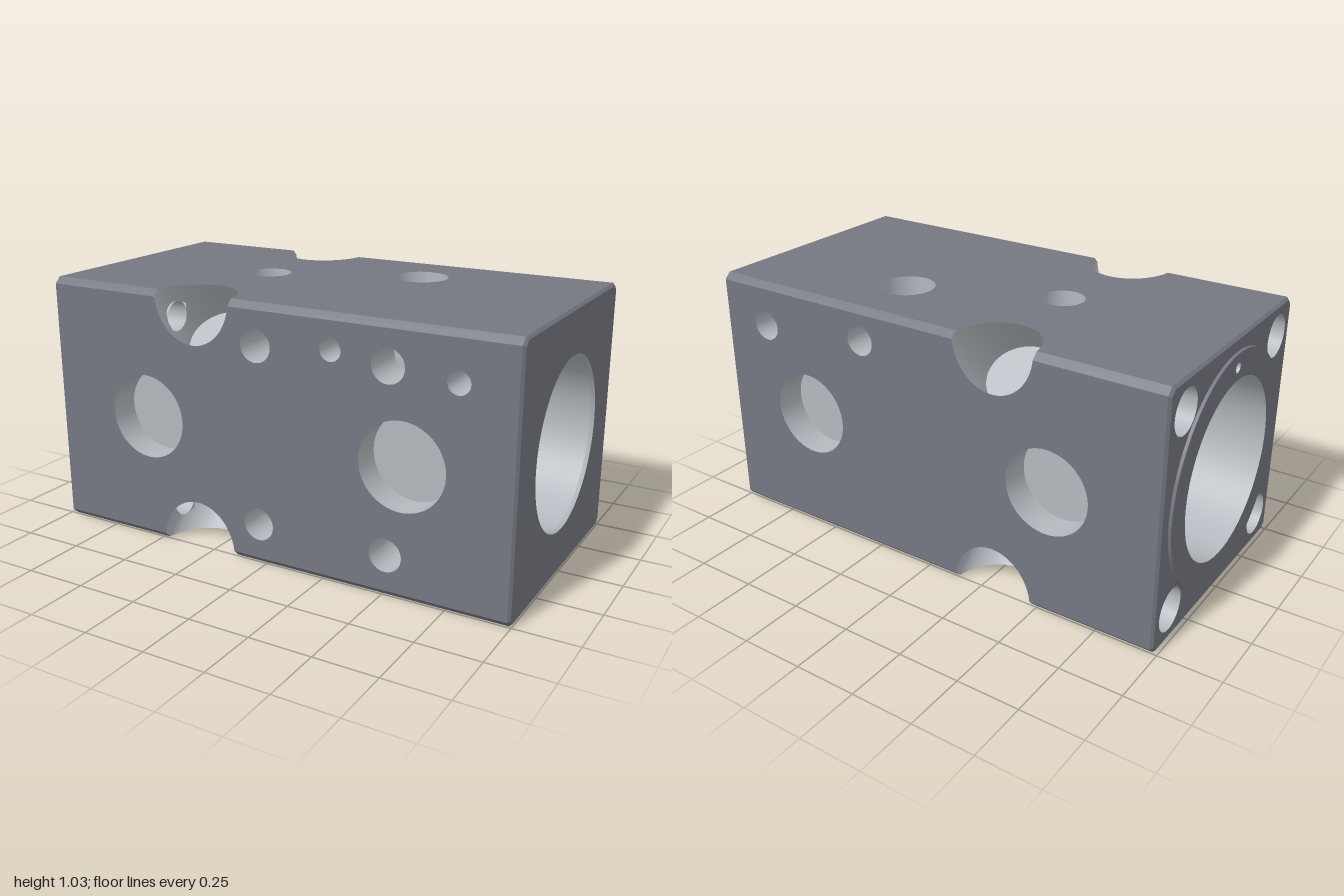
import * as THREE from 'three';

const H = 0.515;                 // half height and half depth of the block
const X0 = -0.988, X1 = 1;       // block ends
const BEVEL = 0.025, LIP = 0.01; // long edge bevel, end edge bevel
const NOTCH = { x: -0.31, a: 0.17, v: 0.195, b: 0.138, floor: 0.403 };
const skin = new THREE.MeshStandardMaterial({ color: 0x747881, side: THREE.DoubleSide });
const cut = new THREE.MeshStandardMaterial({ color: 0xb3b9be, side: THREE.DoubleSide });
const half = (r, d) => Math.sqrt(Math.max(0, r * r - d * d));

function add(parent, name, geo, mat, x = 0, y = 0, z = 0) {
  const m = new THREE.Mesh(geo, mat);
  m.name = name;
  m.position.set(x, y, z);
  parent.add(m);
  return m;
}

function frame(parent, name) {
  const g = new THREE.Group();
  g.name = name;
  parent.add(g);
  return g;
}

// Round wall along z from s0 to s1; each gap(phi) = [centre, half length] leaves an opening.
function wall(a, s0, s1, gaps = [], b = a, n = 96) {
  const pos = [], idx = [];
  const val = (s, p) => (typeof s === 'function' ? s(p) : s);
  const count = gaps.length + 1;
  for (let i = 0; i <= n; i++) {
    const p = (i / n) * Math.PI * 2;
    const stops = [val(s0, p)];
    for (const g of gaps) {
      const [c, h] = g(p);
      stops.push(c - h, c + h);
    }
    stops.push(val(s1, p));
    for (const s of stops) pos.push(a * Math.cos(p), b * Math.sin(p), s);
  }
  const row = count * 2;
  for (let i = 0; i < n; i++) {
    for (let k = 0; k < count; k++) {
      const q = i * row + k * 2;
      idx.push(q, q + 1, q + row, q + 1, q + row + 1, q + row);
    }
  }
  const g = new THREE.BufferGeometry();
  g.setAttribute('position', new THREE.Float32BufferAttribute(pos, 3));
  g.setIndex(idx);
  g.computeVertexNormals();
  return g;
}

const ring = (r0, r1) => (r0 > 0 ? new THREE.RingGeometry(r0, r1, 96) : new THREE.CircleGeometry(r1, 96));

// Flat strips between two matching rows of points
function loft(rowA, rowB, closed = true) {
  const pos = [], n = rowA.length;
  for (let i = 0; i < (closed ? n : n - 1); i++) {
    const j = (i + 1) % n;
    for (const p of [rowA[i], rowA[j], rowB[j], rowA[i], rowB[j], rowB[i]]) pos.push(...p);
  }
  const g = new THREE.BufferGeometry();
  g.setAttribute('position', new THREE.Float32BufferAttribute(pos, 3));
  g.computeVertexNormals();
  return g;
}

// Bevelled square outline
function outline(inset) {
  const h = H - inset, k = H - BEVEL - inset * 0.5;
  return [[h, -k], [h, k], [k, h], [-k, h], [-h, k], [-h, -k], [-k, -h], [k, -h]];
}

function punch(shape, holes) {
  for (const [x, y, r] of holes) {
    const p = new THREE.Path();
    p.absarc(x, y, r, 0, Math.PI * 2, true);
    shape.holes.push(p);
  }
  return new THREE.ShapeGeometry(shape, 48);
}

// Long side panel with a bite at each edge where the corner notches break out
function sidePanel(holes) {
  const e = H - BEVEL, t = Math.asin(BEVEL / NOTCH.v), { x, a, v } = NOTCH;
  const s = new THREE.Shape();
  s.moveTo(X0 + LIP, -e);
  s.lineTo(x - a * Math.cos(t), -e);
  s.absellipse(x, -H, a, v, Math.PI - t, t, true);
  s.lineTo(X1 - LIP, -e);
  s.lineTo(X1 - LIP, e);
  s.absellipse(x, H, a, v, -t, -Math.PI + t, true);
  s.lineTo(X0 + LIP, e);
  s.closePath();
  return punch(s, holes);
}

function endPanel(holes) {
  return punch(new THREE.Shape(outline(LIP).map(([x, y]) => new THREE.Vector2(x, y))), holes);
}

// Flat-bottomed pocket sunk from a side panel
function pocket(parent, name, x, v, r, depth, inner = 0, gaps = []) {
  add(parent, name + 'Wall', wall(r, H - depth, H, gaps), cut, x, v);
  add(parent, name + 'Floor', ring(inner, r), cut, x, v, H - depth);
}

export function createModel() {
  const model = new THREE.Group();
  model.name = 'drilledBlock';
  const body = frame(model, 'body');
  body.position.y = H;

  // Holes of each side as [x, v, radius]: front, top, back, bottom
  const ports = [[-0.54, 0, 0.17], [0.575, 0, 0.17]];
  const taps = [-0.025, 0.517].flatMap(x => [0.357, -0.35].map(v => [x, v, 0.065]));
  const cross = [[0.29, 0.383], [0.78, 0.336]];
  const sideHoles = [
    [...ports, ...taps, ...cross.map(([x, y]) => [x, y, 0.043])],
    [[-0.285, 0, 0.085], [0.29, 0.22, 0.11]],
    [...ports, ...cross.map(([x, y]) => [x, -y, 0.06])],
    [[0.29, -0.22, 0.057]],
  ];
  const sides = ['front', 'top', 'back', 'bottom'].map((name, k) => {
    const f = frame(body, name + 'Side');
    f.rotation.x = -k * Math.PI / 2;
    add(f, name + 'Panel', sidePanel(sideHoles[k]), skin, 0, 0, H);
    return f;
  });
  const [front, top, back] = sides;

  // Blind ports and tapped holes
  for (const f of [front, back]) for (const [x, v, r] of ports) pocket(f, 'port', x, v, r, 0.12);
  for (const [x, v, r] of taps) pocket(front, 'tappedHole', x, v, r, 0.18);
  pocket(top, 'topPort', -0.285, 0, 0.085, 0.12, 0.035);
  add(top, 'topPortDrill', wall(0.035, 0.22, H - 0.12), cut, -0.285, 0);

  // Cross holes, counterbored at the back, opening into the riser or the bore
  const crossGaps = [
    p => [-0.22, half(0.11, 0.043 * Math.cos(p))],
    p => [0, half(0.33, 0.336 + 0.043 * Math.sin(p))],
  ];
  cross.forEach(([x, y], i) => {
    add(front, 'crossHole', wall(0.043, -H + 0.15, H, [crossGaps[i]]), cut, x, y);
    pocket(back, 'crossCounterbore', x, -y, 0.06, 0.15, 0.043);
  });

  // Vertical riser grazing the main bore, with a deep counterbore met by a cross hole
  pocket(top, 'riserCounterbore', 0.29, 0.22, 0.11, 0.2, 0.057, [
    p => [0.383, half(0.043, 0.11 * Math.cos(p))],
  ]);
  add(top, 'riserHole', wall(0.057, -H, H - 0.2, [
    p => [0, half(0.22, 0.22 + 0.057 * Math.sin(p))],
  ]), cut, 0.29, 0.22);

  // Everything along the bore axis: local z is the block's x
  const axis = frame(body, 'boreAxis');
  axis.rotation.y = Math.PI / 2;
  add(axis, 'rightBore', wall(0.33, 0.7, 0.985, [
    p => [0.78, half(0.043, 0.33 * Math.sin(p) - 0.336)],
  ], 0.33, 192), cut);
  const mouth = add(axis, 'rightBoreMouth', new THREE.CylinderGeometry(0.337, 0.33, 0.015, 96, 1, true), cut, 0, 0, 0.9925);
  mouth.rotation.x = Math.PI / 2;
  add(axis, 'rightBoreStep', ring(0.325, 0.33), cut, 0, 0, 0.7);
  add(axis, 'rightInnerBore', wall(0.325, 0.42, 0.7), cut);
  add(axis, 'rightShoulder', ring(0.22, 0.325), cut, 0, 0, 0.42);
  add(axis, 'mainBore', wall(0.22, -0.62, 0.42, [
    p => [0.29, half(0.057, 0.22 - 0.22 * Math.cos(p))],
  ], 0.22, 192), cut);
  add(axis, 'leftShoulder', ring(0.22, 0.33), cut, 0, 0, -0.62);
  add(axis, 'leftStep', wall(0.33, -0.66, -0.62), cut);
  add(axis, 'leftStepFace', ring(0.33, 0.355), cut, 0, 0, -0.66);
  add(axis, 'leftBore', wall(0.355, -1, -0.66), cut);

  // Raised collar around the left bore with a small pin hole
  const disc = new THREE.Shape();
  disc.absarc(0, 0, 0.46, 0, Math.PI * 2);
  add(axis, 'collarFace', punch(disc, [[0, 0, 0.355], [0, 0.405, 0.02]]), skin, 0, 0, -1);
  add(axis, 'collarRim', wall(0.46, -1, X0), skin);
  add(axis, 'pinHole', wall(0.02, -1, -0.92), cut, 0, 0.405);
  add(axis, 'pinHoleFloor', ring(0, 0.02), cut, 0, 0.405, -0.92);

  // Ends and their small edge bevels
  const bolts = [[1, 1], [1, -1], [-1, 1], [-1, -1]].map(([x, y]) => [x * 0.39, y * 0.39, 0.085]);
  add(axis, 'rightEnd', endPanel([[0, 0, 0.337]]), skin, 0, 0, X1);
  add(axis, 'leftEnd', endPanel([[0, 0, 0.46], ...bolts]), skin, 0, 0, X0);
  for (const [x, d] of [[X0, LIP], [X1, -LIP]]) {
    const inner = outline(LIP).map(p => [...p, x]);
    const outer = outline(0).map(p => [...p, x + d]);
    add(axis, 'endBevel', x > 0 ? loft(outer, inner) : loft(inner, outer), skin);
  }

  // Bolt holes running from the left end into the notches
  for (const [x, y, r] of bolts) {
    add(axis, 'boltCounterbore', wall(r, X0, -0.8), cut, x, y);
    add(axis, 'boltSeat', ring(0.06, r), cut, x, y, -0.8);
    add(axis, 'boltHole', wall(0.06, -0.8, -0.47), cut, x, y);
  }

  // Bevelled long edges with a slanted round notch in each
  const { x: nx, a, b, floor, v } = NOTCH;
  const edge = H * Math.SQRT2, w = BEVEL / Math.SQRT2, flat = edge - w;
  const bite = a * Math.cos(Math.asin(BEVEL / v));
  for (let k = 0; k < 4; k++) {
    const f = frame(body, 'longEdge');
    f.rotation.x = -Math.PI / 4 - k * Math.PI / 2;
    for (const [xa, xb] of [[X0 + LIP, nx - bite], [nx + bite, X1 - LIP]]) {
      add(f, 'edgeBevel', loft([[xa, -w, flat], [xb, -w, flat]], [[xa, w, flat], [xb, w, flat]], false), skin);
    }
    add(f, 'notchWall', wall(a, floor, p => Math.min(flat, edge - Math.abs(b * Math.sin(p))), [
      p => [0.39 * Math.SQRT2, Math.cos(p) < 0 ? half(0.06, b * Math.sin(p)) : 0],
    ], b, 128), cut, nx);
    add(f, 'notchFloor', ring(0, 1), cut, nx, 0, floor).scale.set(a, b, 1);
  }
  return model;
}
